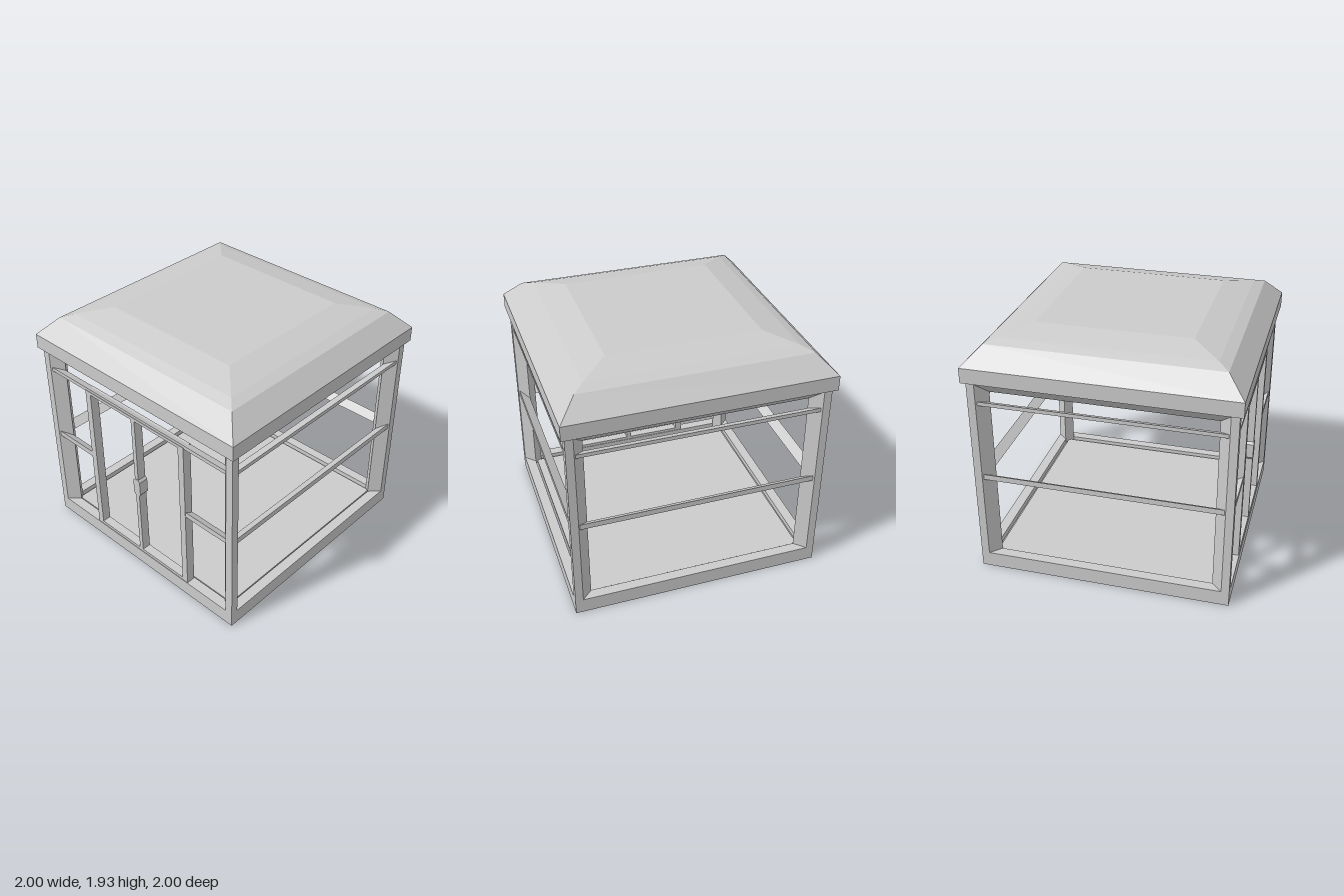
import * as THREE from 'three';

const material = new THREE.MeshStandardMaterial({ color: 0xcccccc, flatShading: true });

function add(parent, name, geometry) {
  const mesh = new THREE.Mesh(geometry, material);
  mesh.name = name;
  parent.add(mesh);
  return mesh;
}

// Box given by its limits on each axis
function box(parent, name, [x0, x1], [y0, y1], [z0, z1]) {
  const mesh = add(parent, name, new THREE.BoxGeometry(x1 - x0, y1 - y0, z1 - z0));
  mesh.position.set((x0 + x1) / 2, (y0 + y1) / 2, (z0 + z1) / 2);
}

// Square ring or dome: sweeps a [half width, height] profile round four sides
function squareSweep(parent, name, profile) {
  const points = profile.map(([r, y]) => new THREE.Vector2(r * Math.SQRT2, y));
  const geometry = new THREE.LatheGeometry(points, 4, Math.PI / 4).toNonIndexed();
  geometry.computeVertexNormals();
  add(parent, name, geometry);
}

function extrude(points, depth) {
  const shape = new THREE.Shape(points.map(([x, y]) => new THREE.Vector2(x, y)));
  return new THREE.ExtrudeGeometry(shape, { depth, bevelEnabled: false });
}

// Wedge-shaped rail: upright outer face, flat underside, top sloping down inwards
function rail(parent, name, [x0, x1], [y0, y1]) {
  const geometry = extrude([[0.89, y0], [0.962, y0], [0.962, y1]], x1 - x0);
  geometry.rotateY(-Math.PI / 2).translate(x1, 0, 0);
  add(parent, name, geometry);
}

export function createModel() {
  const model = new THREE.Group();
  model.name = 'kiosk';

  // Base frame with a bevelled underside, and a slightly sunken floor
  squareSweep(model, 'baseFrame', [
    [0.89, 0.075], [0.96, 0], [0.97, 0], [0.97, 0.12], [0.89, 0.12], [0.89, 0.075],
  ]);
  box(model, 'floor', [-0.87, 0.87], [0.085, 0.1], [-0.87, 0.87]);

  // Corner posts, bevelled towards the openings
  const postGeometry = extrude([
    [0.97, 0.97], [0.91, 0.97], [0.83, 0.89], [0.89, 0.83], [0.97, 0.91],
  ], 1.5);
  postGeometry.rotateX(-Math.PI / 2).translate(0, 0.085, 0);
  for (let i = 0; i < 4; i++) {
    add(model, 'cornerPost', postGeometry).rotation.y = i * Math.PI / 2;
  }

  // Rails on the four sides; the front middle rail stops at the door
  for (let i = 0; i < 4; i++) {
    const side = new THREE.Group();
    side.name = ['frontRails', 'leftRails', 'backRails', 'rightRails'][i];
    side.rotation.y = i * Math.PI / 2;
    model.add(side);
    rail(side, 'topRail', [-0.9, 0.9], [1.415, 1.445]);
    const spans = i === 0 ? [[-0.9, -0.5], [0.5, 0.9]] : [[-0.9, 0.9]];
    for (const span of spans) rail(side, 'middleRail', span, [0.793, 0.837]);
  }

  // Double door
  const door = new THREE.Group();
  door.name = 'door';
  model.add(door);
  const depth = [0.895, 0.966];
  box(door, 'doorSidePost', [-0.51, -0.457], [0.11, 1.425], depth);
  box(door, 'doorSidePost', [0.457, 0.51], [0.11, 1.425], depth);
  box(door, 'doorCentrePost', [-0.018, 0.018], [0.11, 1.425], depth);
  box(door, 'doorLintel', [-0.46, 0.46], [1.4, 1.425], depth);
  box(door, 'doorSill', [-0.46, 0.46], [0.1, 0.145], depth);
  const handleGeometry = extrude([
    [-0.018, 0.7], [0.018, 0.7], [0.034, 0.72], [0.034, 0.835],
    [0.018, 0.855], [-0.018, 0.855], [-0.034, 0.835], [-0.034, 0.72],
  ], 0.077);
  add(door, 'doorHandle', handleGeometry).position.z = 0.892;

  // Roof: shallow ceiling, bevelled beam, eaves, curved slopes and flat top
  squareSweep(model, 'roof', [
    [0, 1.54], [0.57, 1.54], [0.84, 1.5], [0.89, 1.5], [0.985, 1.6], [1, 1.6],
    [1, 1.715], [0.865, 1.855], [0.785, 1.885], [0.575, 1.935], [0, 1.935],
  ]);

  return model;
}
